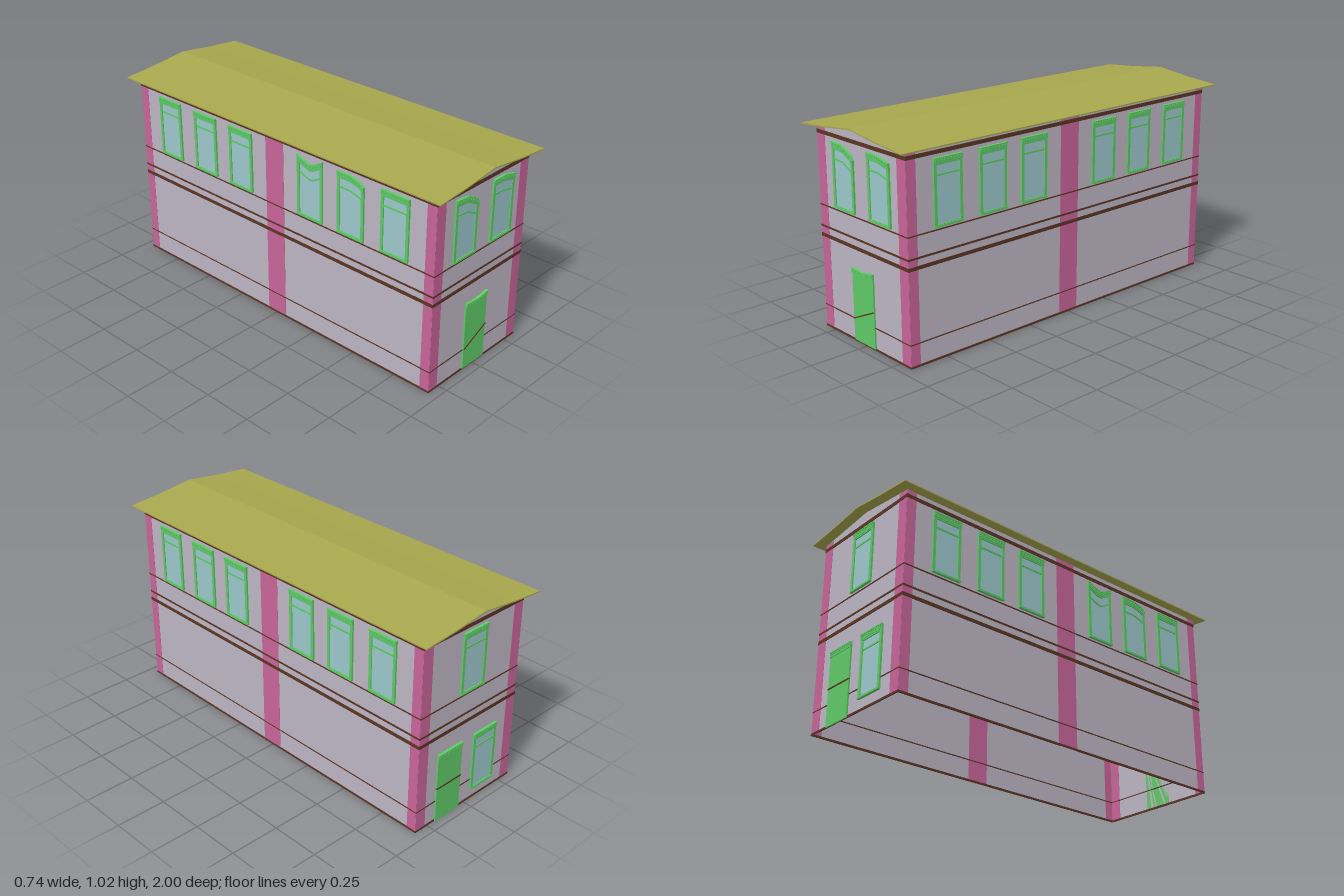
import * as THREE from 'three';

const mat = (color) => new THREE.MeshStandardMaterial({ color, side: THREE.DoubleSide, flatShading: true });
const WALL = mat(0xbdb6c4), PINK = mat(0xc9659a), BROWN = mat(0x5a3524);
const GREEN = mat(0x5fca68), GLASS = mat(0x9dc8cc), ROOF = mat(0xa8a84e);

const X0 = -0.32, X1 = 0.325, Z = 0.95, EAVE = 0.975, T = 0.005;

function add(parent, name, geometry, material, x = 0, y = 0, z = 0) {
  const m = new THREE.Mesh(geometry, material);
  m.name = name;
  m.position.set(x, y, z);
  parent.add(m);
  return m;
}

// thin box between two corners in a wall's plane, centred on the wall
function panel(parent, name, material, u0, u1, v0, v1, depth = T, z = 0) {
  return add(parent, name, new THREE.BoxGeometry(u1 - u0, v1 - v0, depth), material, (u0 + u1) / 2, (v0 + v1) / 2, z);
}

const shapeOf = (pts) => new THREE.Shape(pts.map((p) => new THREE.Vector2(...p)));
const extrude = (shape, depth) => new THREE.ExtrudeGeometry(shape, { depth, bevelEnabled: false });

// height change along a top edge: knots are [0..1 across, offset]
function bend(knots, t) {
  for (let i = 1; i < knots.length; i++) {
    const [a, da] = knots[i - 1], [b, db] = knots[i];
    if (t <= b) return da + (db - da) * (t - a) / (b - a);
  }
  return knots[knots.length - 1][1];
}

// strip following the bent top edge; bottom is fixed or bent as well
function strip(u0, u1, low, high, knots, w, bendLow = true) {
  const top = [], bottom = [], n = 12;
  for (let i = 0; i <= n; i++) {
    const u = u0 + (u1 - u0) * i / n, d = bend(knots, u / w + 0.5);
    top.unshift([u, high + d]);
    bottom.push([u, low + (bendLow ? d : 0)]);
  }
  return [...bottom, ...top];
}

const FLAT = [[0, 0], [1, 0]];

function cornice(g, w, top, knots) {
  const h = w / 2;
  add(g, 'header', extrude(shapeOf(strip(-h, h, top - 0.026, top - 0.006, knots, w)), 0.011), GREEN);
  add(g, 'headerCap', extrude(shapeOf(strip(-h, h, top - 0.006, top, knots, w)), 0.014), GREEN);
  for (let i = 0; i < 9; i++) {
    const u = -h + w * (i + 0.5) / 9;
    add(g, 'dentil', new THREE.BoxGeometry(w / 20, 0.008, 0.014), GREEN, u, top - 0.011 + bend(knots, u / w + 0.5), 0.007);
  }
}

function addWindow(wall, u, bottom, top, knots = FLAT, w = 0.156) {
  const g = new THREE.Group(), h = w / 2, b = 0.015;
  g.name = 'window';
  g.position.x = u;
  const frame = shapeOf(strip(-h, h, bottom, top, knots, w, false));
  frame.holes.push(new THREE.Path(strip(-h + b, h - b, bottom + 0.012, top - 0.033, knots, w, false).map((p) => new THREE.Vector2(...p))));
  add(g, 'windowFrame', extrude(frame, 0.009), GREEN);
  add(g, 'glass', new THREE.ShapeGeometry(shapeOf(strip(-h + b, h - b, bottom + 0.01, top - 0.03, knots, w, false))), GLASS, 0, 0, 0.004);
  add(g, 'transom', extrude(shapeOf(strip(-h + b, h - b, top - 0.081, top - 0.073, knots, w)), 0.007), GREEN);
  cornice(g, w, top, knots);
  panel(g, 'sill', GREEN, -h, h, bottom, bottom + 0.009, 0.012, 0.006);
  wall.add(g);
}

// solid door crossed by a rail running from height r0 to r1
function addDoor(wall, u, w, bottom, top, knots, r0, r1) {
  const g = new THREE.Group(), h = w / 2;
  g.name = 'door';
  g.position.x = u;
  add(g, 'doorLeaf', extrude(shapeOf(strip(-h, h, bottom, top, knots, w, false)), 0.008), GREEN);
  cornice(g, w, top, knots);
  add(g, 'doorRail', extrude(shapeOf([[-h, r0 - 0.003], [h, r1 - 0.003], [h, r1 + 0.003], [-h, r0 + 0.003]]), 0.011), BROWN);
  wall.add(g);
}

// one wall with its corner strips and string courses; u runs left to right seen from outside
function makeWall(name, u0, u1, gable, cornerL, cornerR) {
  const g = new THREE.Group();
  g.name = name;
  const outline = [[u0, 0], [u1, 0], [u1, EAVE]];
  if (gable) outline.push([0.19, 0.988], [0, 1.008], [-0.19, 0.988]);
  outline.push([u0, EAVE]);
  add(g, 'wallSurface', new THREE.ShapeGeometry(shapeOf(outline)), WALL);
  panel(g, 'cornerStrip', PINK, u0, u0 + cornerL, 0, EAVE, 0.003);
  panel(g, 'cornerStrip', PINK, u1 - cornerR, u1, 0, EAVE, 0.003);
  const courses = [[0, 0.01], [0.108, 0.113], [0.447, 0.464], [0.495, 0.504], [0.598, 0.604], [0.935, 0.953]];
  for (const [a, b] of courses) panel(g, 'stringCourse', BROWN, u0 - 0.0025, u1 + 0.0025, a, b);
  return g;
}

export function createModel() {
  const model = new THREE.Group();
  model.name = 'building';

  // front: door and two windows with settled heads
  const front = makeWall('frontWall', X0, X1, true, 0.058, 0.06);
  front.position.z = Z;
  addWindow(front, -0.122, 0.613, 0.92, [[0, 0], [0.5, -0.006], [0.9, -0.035], [1, -0.06]]);
  addWindow(front, 0.139, 0.613, 0.921, [[0, 0], [0.5, 0], [1, -0.019]]);
  addDoor(front, -0.006, 0.155, 0.01, 0.36, [[0, 0], [0.5, -0.006], [1, 0.006]], 0.114, 0.187);

  // back: one window above, a door and a window below
  const back = makeWall('backWall', -X1, -X0, true, 0.06, 0.058);
  back.position.z = -Z;
  back.rotation.y = Math.PI;
  addWindow(back, 0, 0.613, 0.92);
  addWindow(back, 0.115, 0.055, 0.36);
  addDoor(back, -0.122, 0.16, 0.0, 0.36, FLAT, 0.18, 0.18);

  // long sides: middle strip and six windows each
  const left = makeWall('leftWall', -Z, Z, false, 0.05, 0.05);
  left.position.x = X1;
  left.rotation.y = Math.PI / 2;
  const right = makeWall('rightWall', -Z, Z, false, 0.05, 0.05);
  right.position.x = X0;
  right.rotation.y = -Math.PI / 2;
  panel(left, 'middleStrip', PINK, -0.06, 0.055, 0, EAVE, 0.003);
  panel(right, 'middleStrip', PINK, -0.055, 0.06, 0, EAVE, 0.003);
  const settled = {
    0.232: [[0, 0], [0.45, -0.03], [0.6, -0.03], [1, 0.004]],
    0.478: [[0, 0], [0.5, 0], [0.85, -0.015], [1, -0.035]],
  };
  for (const z of [-0.727, -0.47, -0.222, 0.232, 0.478, 0.732]) {
    addWindow(left, -z, 0.613, 0.92);
    addWindow(right, z, 0.613, 0.92, settled[z]);
  }
  model.add(front, back, left, right);

  // thin, gently pitched roof with overhanging eaves
  const pitch = [[-0.368, 0.98], [-0.19, 0.995], [0, 1.018], [0.19, 0.995], [0.368, 0.98]];
  const under = pitch.map(([x, y]) => [x, y - 0.006]).reverse();
  add(model, 'roof', extrude(shapeOf([...pitch, ...under]), 2), ROOF, 0, 0, -1);
  return model;
}
